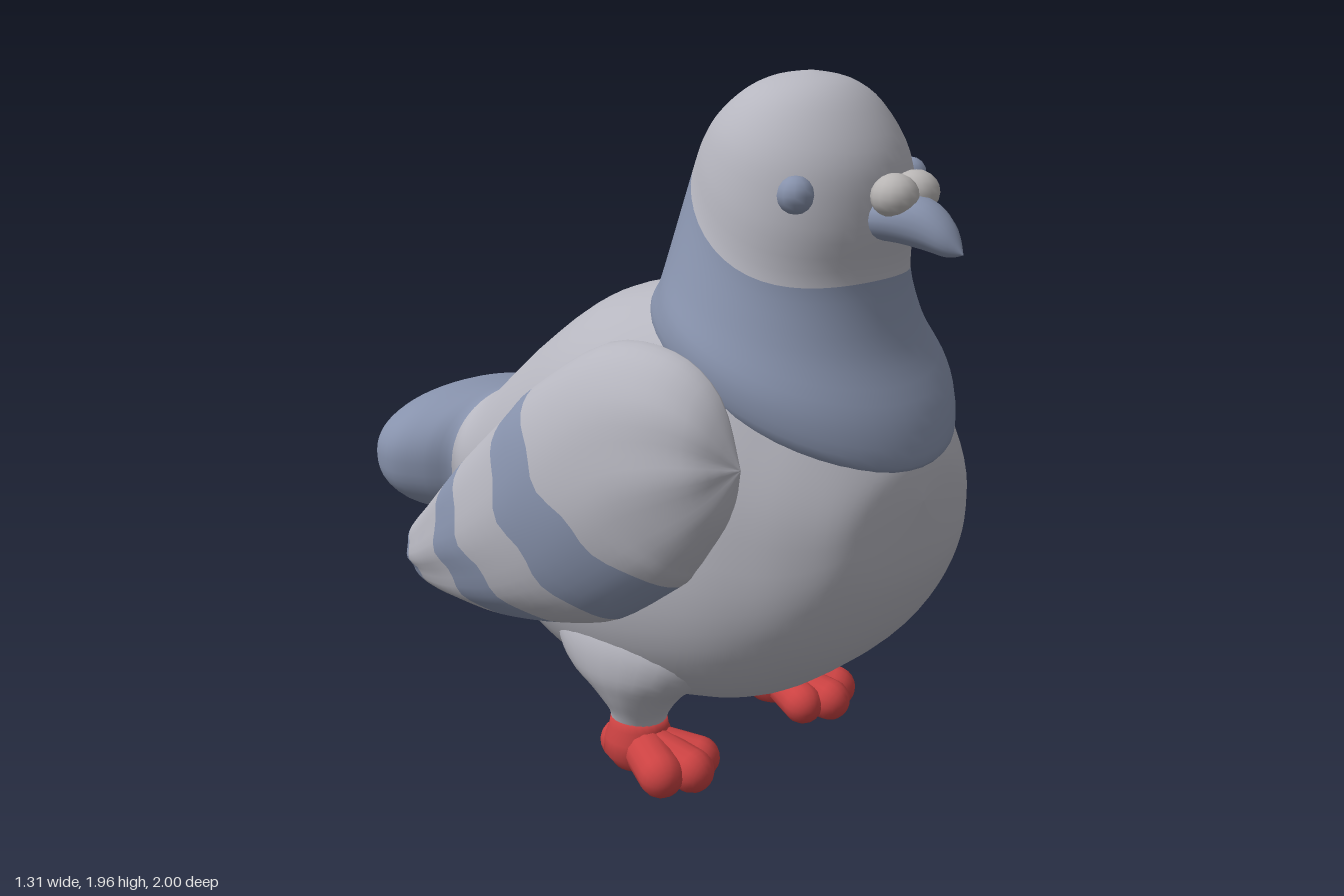
import * as THREE from 'three';

const mat = (name, color) => Object.assign(new THREE.MeshStandardMaterial({ color }), { name });

// Catmull-Rom blend of four numbers
const blend = (a, b, c, d, t) =>
  b + 0.5 * t * (c - a + t * (2 * a - 5 * b + 4 * c - d + t * (3 * (b - c) + d - a)));

// Skin closed rings through stations; span i (station i to i+1) takes material paint(i)
function loft(stations, ring, paint, sides = 40, sub = 4) {
  const last = stations.length - 1, rows = last * sub, pos = [], idx = [];
  const at = (i) => stations[Math.min(last, Math.max(0, i))];
  for (let r = 0; r <= rows; r++) {
    const i = Math.min(Math.floor(r / sub), last - 1), t = r / sub - i;
    const s = at(i).map((_, k) => blend(at(i - 1)[k], at(i)[k], at(i + 1)[k], at(i + 2)[k], t));
    for (let j = 0; j < sides; j++) pos.push(...ring(s, (j / sides) * Math.PI * 2, r / rows));
  }
  const geo = new THREE.BufferGeometry();
  for (let r = 0; r < rows; r++) {
    geo.addGroup(idx.length, sides * 6, paint(Math.floor(r / sub)));
    for (let j = 0; j < sides; j++) {
      const a = r * sides + j, b = r * sides + (j + 1) % sides;
      idx.push(a, b, a + sides, b, b + sides, a + sides);
    }
  }
  geo.setAttribute('position', new THREE.Float32BufferAttribute(pos, 3));
  geo.setIndex(idx);
  geo.computeVertexNormals();
  return geo;
}

// Upright section at depth z: [z, top, bottom, half width]; a lower power makes a boxier underside
const uprightRing = (underside) => ([z, top, bottom, w], a) => {
  const c = Math.cos(a), s = Math.sin(a);
  const soft = (v) => Math.sign(v) * Math.abs(v) ** (c < 0 ? underside : 0.93);
  return [w * soft(s), (top + bottom) / 2 + (top - bottom) / 2 * soft(c), z];
};

// Tilted section: [front z, front y, back z, back y, half width, side sag]
const tiltedRing = ([zf, yf, zb, yb, w, sag], a) => {
  const c = Math.cos(a), s = Math.sin(a);
  return [w * s, (yf + yb) / 2 + (yf - yb) / 2 * c - sag * s * s, (zf + zb) / 2 + (zf - zb) / 2 * c];
};

// Wing section: [top z, top y, bottom z, bottom y, x of edge, outward bulge], bowed and a little wavy
const wingRing = (side) => ([zt, yt, zb, yb, x, bulge], a, u) => {
  const c = Math.cos(a), s = Math.sin(a) * side;
  const bow = Math.sin(Math.PI * u) * s * s * (0.06 + 0.018 * Math.sin(9 * c));
  return [
    side * (x + s * (s > 0 ? bulge : bulge * 0.35)),
    (yt + yb) / 2 + (yt - yb) / 2 * c - bow * 0.5,
    (zt + zb) / 2 + (zt - zb) / 2 * c - bow * 0.85,
  ];
};

const BODY = [
  [0.915, 0.9, 0.9, 0], [0.9, 0.99, 0.74, 0.16], [0.87, 1.05, 0.63, 0.27],
  [0.8, 1.16, 0.5, 0.355], [0.7, 1.29, 0.39, 0.425], [0.55, 1.46, 0.285, 0.485],
  [0.35, 1.49, 0.22, 0.505], [0.11, 1.385, 0.195, 0.49], [-0.1, 1.32, 0.205, 0.45],
  [-0.3, 1.19, 0.27, 0.385], [-0.45, 1.07, 0.36, 0.325], [-0.56, 0.975, 0.45, 0.285],
  [-0.63, 0.93, 0.51, 0.275], [-0.7, 0.925, 0.52, 0.33], [-0.8, 0.92, 0.53, 0.375],
  [-0.9, 0.89, 0.57, 0.35], [-0.96, 0.84, 0.64, 0.26], [-0.99, 0.795, 0.69, 0.14],
  [-1, 0.745, 0.745, 0],
];
const NECK = [
  [0.86, 0.98, 0.17, 1.36, 0.36, 0], [0.915, 1.0, 0.11, 1.395, 0.415, 0],
  [0.89, 1.12, 0.15, 1.45, 0.422, 0], [0.81, 1.28, 0.175, 1.56, 0.37, 0.03],
  [0.77, 1.46, 0.225, 1.77, 0.315, 0.095], [0.785, 1.6, 0.255, 1.83, 0.3, 0.055],
  [0.77, 1.75, 0.295, 1.875, 0.268, 0.02], [0.7, 1.875, 0.36, 1.925, 0.195, 0],
  [0.62, 1.945, 0.43, 1.957, 0.105, 0], [0.52, 1.97, 0.52, 1.97, 0, 0],
];
const WING = [
  [0.67, 1.03, 0.67, 1.03, 0.44, 0], [0.6, 1.21, 0.645, 0.9, 0.445, 0.1],
  [0.46, 1.3, 0.6, 0.81, 0.455, 0.15], [0.24, 1.29, 0.56, 0.745, 0.455, 0.185],
  [-0.01, 1.14, 0.51, 0.69, 0.46, 0.195], [-0.12, 1.04, 0.29, 0.54, 0.46, 0.19],
  [-0.3, 0.88, 0.08, 0.47, 0.455, 0.17], [-0.4, 0.79, -0.15, 0.42, 0.44, 0.145],
  [-0.53, 0.675, -0.32, 0.4, 0.415, 0.115], [-0.63, 0.59, -0.46, 0.395, 0.395, 0.09],
  [-0.67, 0.545, -0.59, 0.4, 0.38, 0.06], [-0.69, 0.475, -0.69, 0.475, 0.37, 0],
];
const BEAK = [
  [1, 1.55, 1.55, 0], [0.96, 1.62, 1.54, 0.04], [0.9, 1.67, 1.55, 0.065],
  [0.82, 1.685, 1.56, 0.085], [0.72, 1.67, 1.56, 0.085],
];
// Thigh flares upward into the belly
const THIGH = [
  [0.27, 0.165, 0.11, 0.165, 0.077, 0], [0.285, 0.2, 0.105, 0.2, 0.09, 0],
  [0.335, 0.26, 0.045, 0.255, 0.118, 0], [0.43, 0.34, -0.06, 0.32, 0.142, 0],
  [0.48, 0.44, -0.1, 0.42, 0.135, 0], [0.4, 0.56, 0, 0.56, 0.07, 0],
];
const ANKLE = [[0, 0.015], [0.07, 0.025], [0.1, 0.065], [0.097, 0.11], [0.084, 0.145], [0.08, 0.172], [0, 0.172]];

export function createModel() {
  const grey = mat('pale grey plumage', 0xb6b6bf);
  const blue = mat('slate blue plumage', 0x8792ac);
  const red = mat('red feet', 0xcb4242);
  const cereGrey = mat('cere grey', 0xb8b5b4);
  const model = new THREE.Group();
  model.name = 'pigeon';
  const add = (name, geo, material, parent = model, x = 0, y = 0, z = 0) => {
    const mesh = new THREE.Mesh(geo, material);
    mesh.name = name;
    mesh.position.set(x, y, z);
    parent.add(mesh);
    return mesh;
  };

  // Body with blue tail, collar with grey head, beak
  add('bodyAndTail', loft(BODY, uprightRing(0.76), (i) => (i >= 12 ? 1 : 0), 56), [grey, blue]);
  add('collarAndHead', loft(NECK, tiltedRing, (i) => (i < 4 ? 1 : 0), 48), [grey, blue]);
  add('beak', loft(BEAK, uprightRing(0.93), () => 0, 20), [blue]);

  const ankleProfile = ANKLE.map(([r, y]) => new THREE.Vector2(r, y));
  const up = new THREE.Vector3(0, 1, 0);

  for (const side of [1, -1]) {
    const label = side > 0 ? 'left' : 'right';

    // Wing with two bars and a dark tip
    const barred = (i) => ([4, 6, 9, 10].includes(i) ? 1 : 0);
    add(label + 'Wing', loft(WING, wingRing(side), barred, 48), [grey, blue]);

    // Eye and cere lobe
    add(label + 'Eye', new THREE.SphereGeometry(0.048, 10, 8), blue, model, side * 0.24, 1.69, 0.665);
    add(label + 'Cere', new THREE.SphereGeometry(0.057, 14, 10), cereGrey, model, side * 0.045, 1.682, 0.822)
      .scale.set(1.1, 1, 1.05);

    // Thigh
    add(label + 'Thigh', loft(THIGH, tiltedRing, () => 0, 28), [grey], model, side * 0.305);

    // Foot: ankle, three splayed toes and a heel
    const foot = new THREE.Group();
    foot.name = label + 'Foot';
    foot.position.set(side * 0.305, 0, 0.19);
    model.add(foot);
    add('ankle', new THREE.LatheGeometry(ankleProfile, 24), red, foot);
    for (const [x, z, r] of [[0.085, 0.165, 0.064], [0.005, 0.208, 0.062], [-0.07, 0.165, 0.06], [0, -0.068, 0.062]]) {
      const dir = new THREE.Vector3(side * x, -0.022, z);
      const toe = add('toe', new THREE.CapsuleGeometry(r, dir.length(), 6, 14), red, foot, side * x / 2, r + 0.018, z / 2);
      toe.quaternion.setFromUnitVectors(up, dir.normalize());
    }
  }
  return model;
}
